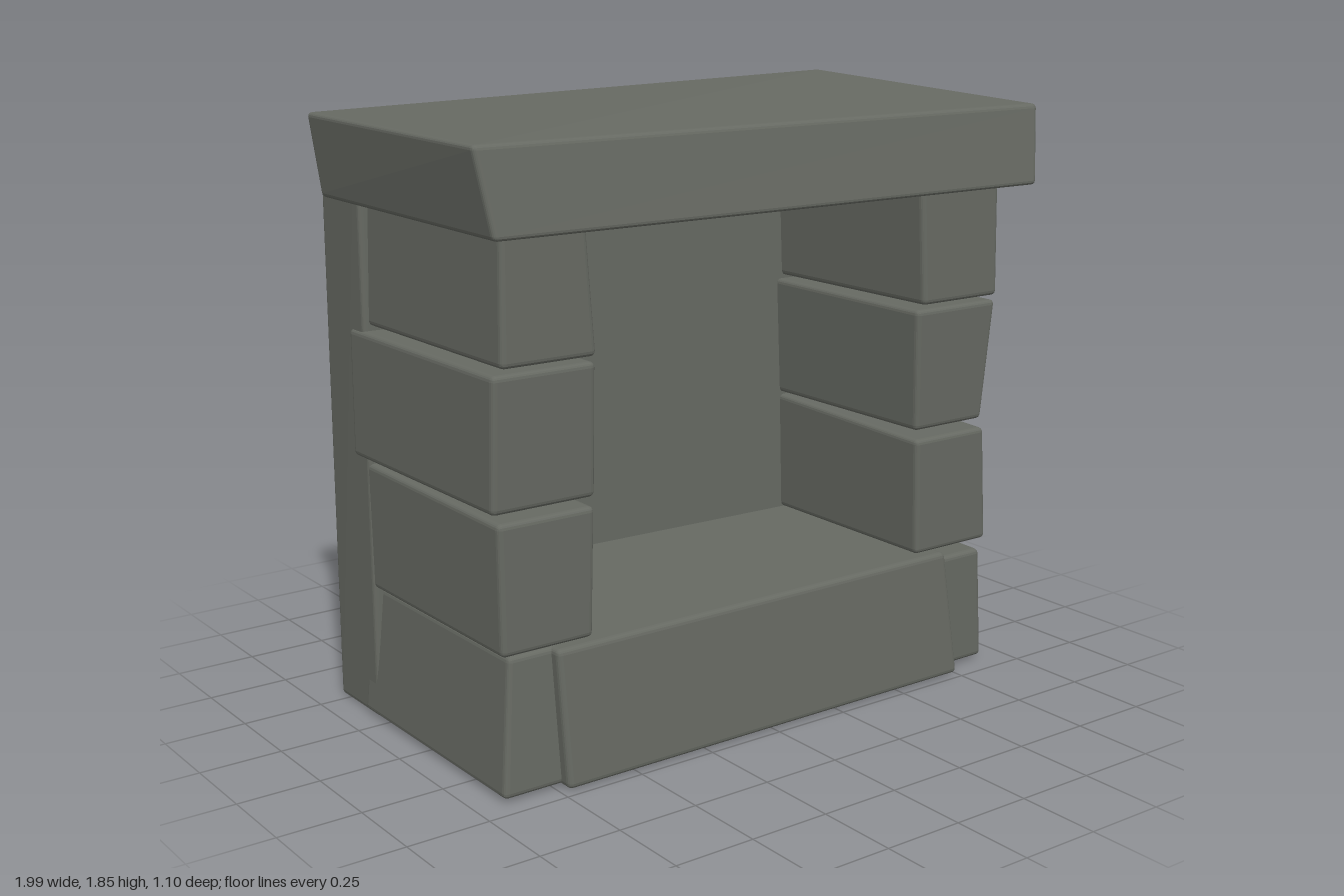
import * as THREE from 'three';
import { RoundedBoxGeometry } from 'three/addons/geometries/RoundedBoxGeometry.js';

const stone = new THREE.MeshStandardMaterial({ color: 0x666962 });
stone.name = 'grey stone';

// Bevelled block warped to eight corners: back-left, back-right, front-right, front-left,
// first for the bottom, then for the top.
function hewnBlock(name, corners, bevel = 0.016) {
  const c = corners.map((p) => new THREE.Vector3(...p));
  const size = new THREE.Box3().setFromPoints(c).getSize(new THREE.Vector3());
  const geo = new RoundedBoxGeometry(size.x, size.y, size.z, 2, bevel);
  const pos = geo.attributes.position;
  for (let i = 0; i < pos.count; i++) {
    const u = pos.getX(i) / size.x + 0.5;
    const v = pos.getY(i) / size.y + 0.5;
    const w = pos.getZ(i) / size.z + 0.5;
    const level = (k) => c[k].clone().lerp(c[k + 1], u).lerp(c[k + 3].clone().lerp(c[k + 2], u), w);
    const p = level(0).lerp(level(4), v);
    pos.setXYZ(i, p.x, p.y, p.z);
  }
  geo.computeVertexNormals();
  const mesh = new THREE.Mesh(geo, stone);
  mesh.name = name;
  return mesh;
}

// Block from bottom and top rectangles [x0, x1, zBack, zFront]; top heights at back and front
function taperedBlock(name, y0, bottom, yBack, yFront, top) {
  const ring = ([x0, x1, zb, zf], yb, yf) => [[x0, yb, zb], [x1, yb, zb], [x1, yf, zf], [x0, yf, zf]];
  return hewnBlock(name, [...ring(bottom, y0, y0), ...ring(top, yBack, yFront)]);
}

export function createModel() {
  const model = new THREE.Group();
  model.name = 'stoneFireplace';

  // Thick back wall, slightly wider at the top
  model.add(hewnBlock('backWall', [
    [-0.905, 0, -0.545], [0.86, 0, -0.495], [0.86, 0, -0.23], [-0.905, 0, -0.30],
    [-0.9, 1.75, -0.55], [0.915, 1.75, -0.525], [0.91, 1.75, -0.24], [-0.91, 1.75, -0.30],
  ]));

  // Hearth slab between the lowest pillar blocks
  model.add(taperedBlock('hearth', 0.005,
    [-0.73, 0.75, -0.35, 0.48], 0.41, 0.405, [-0.74, 0.715, -0.35, 0.445]));

  // Left and right pillars: [y0, bottom, yBack, yFront, top]
  const pillars = {
    rightPillar: [
      [0.01, [-0.915, -0.6, -0.37, 0.44], 0.405, 0.405, [-0.875, -0.62, -0.37, 0.41]],
      [0.41, [-0.9, -0.605, -0.38, 0.42], 0.795, 0.785, [-0.905, -0.595, -0.37, 0.42]],
      [0.81, [-0.92, -0.59, -0.37, 0.415], 1.19, 1.19, [-0.915, -0.59, -0.38, 0.425]],
      [1.205, [-0.89, -0.59, -0.38, 0.43], 1.6, 1.6, [-0.88, -0.615, -0.36, 0.42]],
    ],
    leftPillar: [
      [0.01, [0.6, 0.915, -0.36, 0.42], 0.39, 0.375, [0.6, 0.895, -0.38, 0.415]],
      [0.41, [0.61, 0.915, -0.39, 0.42], 0.805, 0.78, [0.6, 0.89, -0.37, 0.42]],
      [0.81, [0.6, 0.88, -0.37, 0.415], 1.195, 1.19, [0.585, 0.915, -0.38, 0.425]],
      [1.205, [0.605, 0.915, -0.385, 0.43], 1.6, 1.6, [0.59, 0.915, -0.36, 0.42]],
    ],
  };
  for (const [name, blocks] of Object.entries(pillars)) {
    const pillar = new THREE.Group();
    pillar.name = name;
    blocks.forEach((b, i) => pillar.add(taperedBlock(`${name}Block${i + 1}`, ...b)));
    model.add(pillar);
  }

  // Overhanging mantel slab with uneven sides and a raised back corner
  model.add(hewnBlock('mantel', [
    [-0.93, 1.56, -0.49], [1.0, 1.56, -0.525], [0.945, 1.56, 0.55], [-0.965, 1.56, 0.535],
    [-0.955, 1.805, -0.515], [0.93, 1.852, -0.465], [0.982, 1.8, 0.505], [-1.0, 1.8, 0.495],
  ]));

  return model;
}
